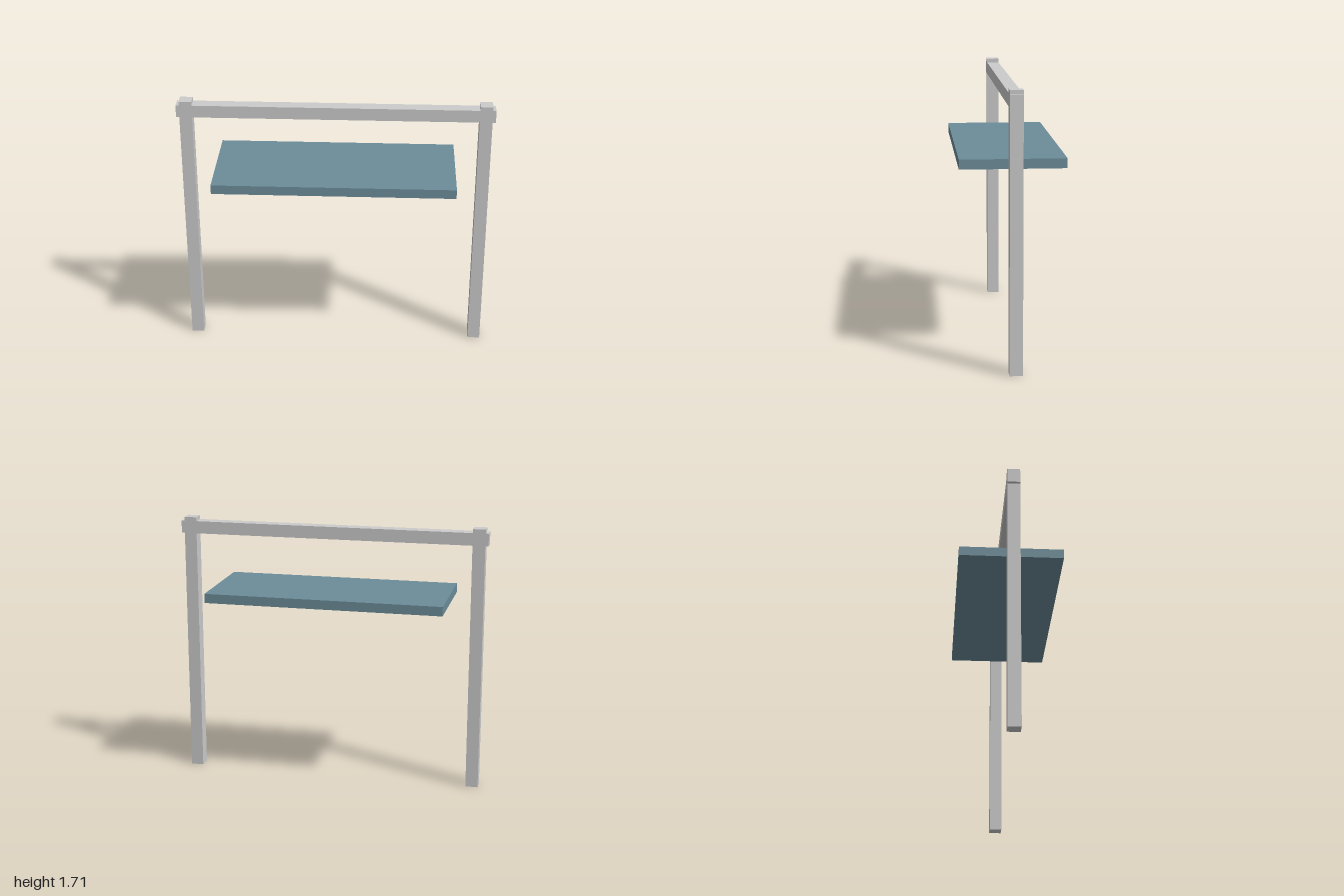
import * as THREE from 'three';

export function createModel() {
  const group = new THREE.Group();
  const frame = new THREE.MeshStandardMaterial({ color: 0xcccccc });
  const panel = new THREE.MeshStandardMaterial({ color: 0x6c8d9a });

  // Box centred on z = 0, given its size, x centre and underside height
  const addBox = (name, [w, h, d], x, bottom, material) => {
    const mesh = new THREE.Mesh(new THREE.BoxGeometry(w, h, d), material);
    mesh.name = name;
    mesh.position.set(x, bottom + h / 2, 0);
    group.add(mesh);
  };

  // Upright posts, rising slightly above the beam
  for (const side of [-1, 1]) {
    addBox(side > 0 ? 'leftPost' : 'rightPost', [0.08, 1.71, 0.08], side * 0.94, 0, frame);
  }

  // Crossbeam, its ends passing just beyond the posts
  addBox('crossbeam', [2, 0.08, 0.08], 0, 1.605, frame);

  // Flat panel floating between the posts
  addBox('panel', [1.526, 0.06, 0.648], 0, 1.215, panel);

  return group;
}
